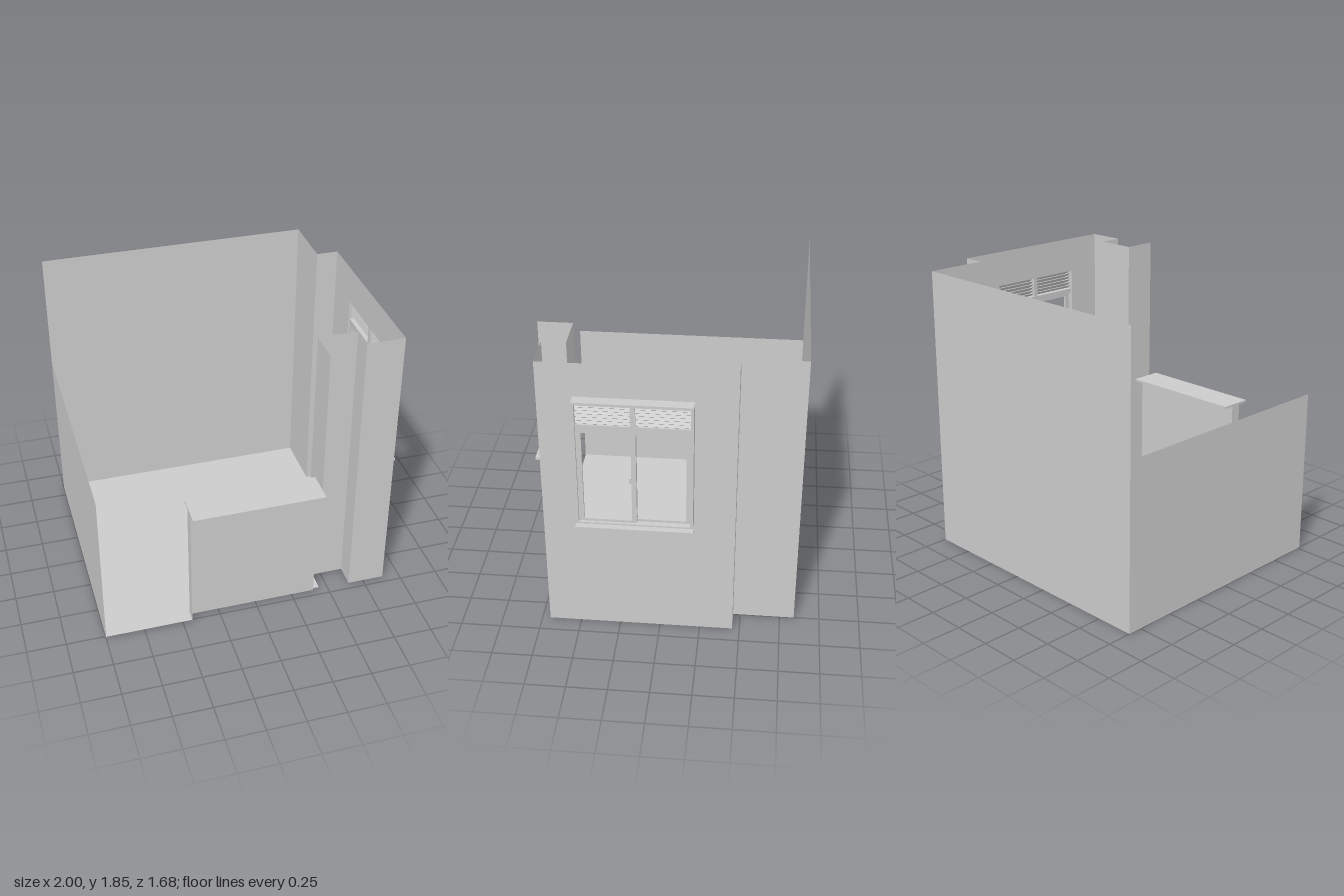
import * as THREE from 'three';

export function createModel() {
  const room = new THREE.Group();
  room.name = 'room';
  const mat = new THREE.MeshStandardMaterial({ color: 0xcccccc, side: THREE.DoubleSide, flatShading: true });

  const H = 1.85, FLOOR = 0.015, LOW = 1.08, COUNTER = 0.885;

  const add = (name, geo, parent = room) => {
    const m = new THREE.Mesh(geo, mat);
    m.name = name;
    parent.add(m);
    return m;
  };

  // Box given by its two extreme corners
  const box = (name, x0, x1, y0, y1, z0, z1, parent = room) =>
    add(name, new THREE.BoxGeometry(x1 - x0, y1 - y0, z1 - z0), parent)
      .position.set((x0 + x1) / 2, (y0 + y1) / 2, (z0 + z1) / 2);

  // Thin vertical walls following a plan path of [x, z] points
  const walls = (name, path, y0, y1) => {
    const g = new THREE.Group();
    g.name = name;
    for (let i = 0; i + 1 < path.length; i++) {
      const [ax, az] = path[i], [bx, bz] = path[i + 1];
      const m = add(name + 'Panel', new THREE.PlaneGeometry(Math.hypot(bx - ax, bz - az), y1 - y0), g);
      m.position.set((ax + bx) / 2, (y0 + y1) / 2, (az + bz) / 2);
      m.rotation.y = Math.atan2(-(bz - az), bx - ax);
    }
    room.add(g);
  };

  const rect = (Type, u0, u1, v0, v1) => new Type([[u0, v0], [u1, v0], [u1, v1], [u0, v1]]
    .map(p => new THREE.Vector2(...p)));

  // Floor
  const plan = [[-1, 0.77], [-0.44, 0.77], [-0.44, 0.7], [0.44, 0.7], [0.44, 0.555], [0.65, 0.555],
    [0.65, 0.7], [0.89, 0.7], [0.89, -0.455], [0.75, -0.455], [0.75, -0.84], [-1, -0.84]];
  const floor = new THREE.ShapeGeometry(new THREE.Shape(plan.map(([x, z]) => new THREE.Vector2(x, -z))));
  add('floor', floor.rotateX(-Math.PI / 2).translate(0, FLOOR, 0));

  // Full-height walls: back with its corner step, then the front corner and pillar recess
  walls('backWall', [[-1, -0.84], [0.75, -0.84], [0.75, -0.455], [0.89, -0.455]], 0, H);
  walls('frontCornerWall', [[0.89, 0.7], [0.65, 0.7], [0.65, 0.555], [0.4, 0.555], [0.4, 0.7]], 0, H);
  walls('pillarReturn', [[0.4, 0.7], [0.4, 0.77]], COUNTER, H);

  // Low side wall, half wall under the counter, and the boxed-in inner corner
  walls('lowSideWall', [[-1, -0.84], [-1, 0.77]], 0, LOW);
  walls('halfWall', [[-0.44, 0.77], [-0.44, 0.7], [0.4, 0.7]], 0, 0.87);
  walls('cornerBoxing', [[0.65, 0.555], [0.89, 0.555]], FLOOR, LOW);
  add('cornerLedge', new THREE.PlaneGeometry(0.24, 0.145).rotateX(-Math.PI / 2).translate(0.77, LOW, 0.6275));
  box('counterTop', -0.44, 0.4, 0.87, COUNTER, 0.63, 0.84);

  // Window wall with its opening
  const side = rect(THREE.Shape, -0.455, 0.7, 0, H);
  side.holes.push(rect(THREE.Path, -0.19, 0.473, 0.817, 1.618));
  add('windowWall', new THREE.ShapeGeometry(side).rotateY(-Math.PI / 2).translate(0.89, 0, 0));

  // Rectangular frame in the window plane, from x0 to x1
  const win = new THREE.Group();
  win.name = 'window';
  room.add(win);
  const frame = (name, x0, x1, outer, inner) => {
    const s = rect(THREE.Shape, ...outer);
    s.holes.push(rect(THREE.Path, ...inner));
    const g = new THREE.ExtrudeGeometry(s, { depth: x1 - x0, bevelEnabled: false });
    add(name, g.rotateY(-Math.PI / 2).translate(x1, 0, 0), win);
  };

  // Surround, sill, transom and mullion
  frame('windowSurround', 0.89, 0.96, [-0.207, 0.49, 0.8, 1.635], [-0.19, 0.473, 0.817, 1.618]);
  box('windowSill', 0.89, 1, 0.795, 0.807, -0.21, 0.49, win);
  box('transom', 0.9, 0.95, 1.458, 1.487, -0.19, 0.473, win);
  box('ventMullion', 0.9, 0.95, 1.487, 1.618, 0.127, 0.156, win);

  // Two sliding sashes on separate tracks
  frame('outerSash', 0.925, 0.943, [0.127, 0.473, 0.817, 1.458], [0.156, 0.442, 0.833, 1.43]);
  frame('innerSash', 0.905, 0.923, [-0.19, 0.156, 0.817, 1.458], [-0.163, 0.127, 0.833, 1.43]);
  box('latch', 0.943, 0.951, 1.1, 1.135, 0.155, 0.168, win);

  // Tilted vent slats in both top lights
  for (const [z0, z1] of [[-0.19, 0.127], [0.156, 0.473]]) {
    for (let i = 0; i < 6; i++) {
      const slat = add('ventSlat', new THREE.BoxGeometry(0.034, 0.004, z1 - z0), win);
      slat.position.set(0.925, 1.499 + i * 0.0215, (z0 + z1) / 2);
      slat.rotation.z = -Math.PI / 4.5;
    }
  }
  return room;
}
